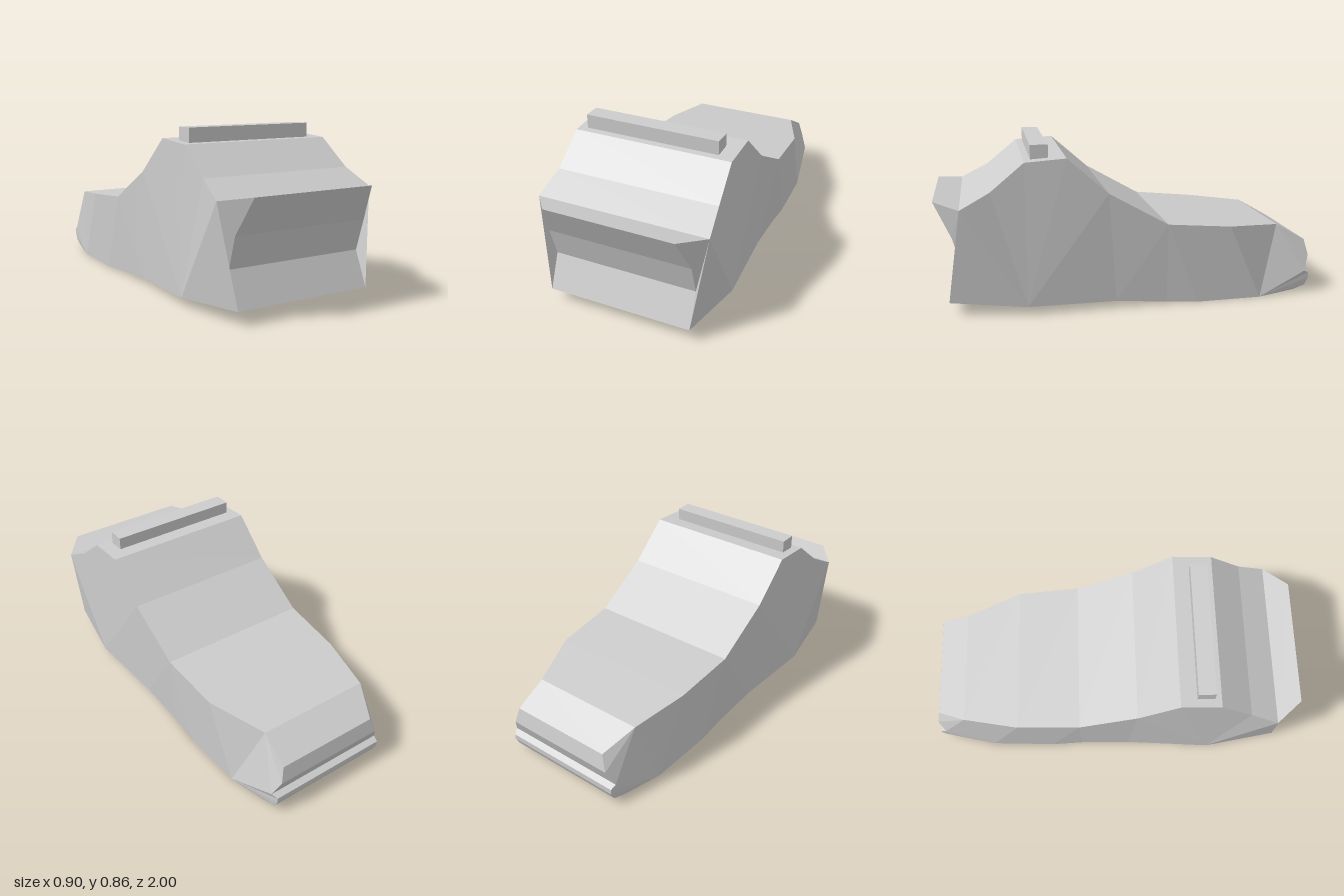
import * as THREE from 'three';

// Body outline, clockwise seen from +x: [z, y, x at -x side, x at +x side]
const outline = [
  // nose edge, cab, roof, sloping back deck
  [0.87, 0.56, -0.45, 0.45], [0.72, 0.64, -0.425, 0.43], [0.55, 0.78, -0.42, 0.42],
  [0.34, 0.795, -0.42, 0.42], [0.13, 0.61, -0.42, 0.42], [-0.18, 0.435, -0.415, 0.415],
  [-0.52, 0.405, -0.4, 0.4], [-0.82, 0.375, -0.34, 0.28],
  // tail and lower bumper lip
  [-0.98, 0.285, -0.27, 0.29], [-1, 0.2, -0.3, 0.31], [-0.97, 0.12, -0.335, 0.345],
  [-1, 0.105, -0.33, 0.33], [-1, 0.075, -0.33, 0.33], [-0.98, 0.035, -0.33, 0.33],
  // underside
  [-0.91, 0.015, -0.34, 0.34], [-0.7, 0, -0.385, 0.385], [-0.35, 0, -0.4, 0.4],
  [-0.18, 0.01, -0.395, 0.395], [0.09, 0.035, -0.405, 0.405], [0.55, 0.045, -0.44, 0.44],
  // recessed front and overhanging lip
  [0.94, 0.07, -0.38, 0.38], [0.866, 0.245, -0.38, 0.38], [0.912, 0.405, -0.38, 0.38],
  [1, 0.585, -0.34, 0.34],
];

// Facets of one side, as outline indices
const sideFacets = [
  [0, 22, 23], [0, 21, 22], [0, 20, 21], [0, 19, 20], [0, 1, 19], [1, 2, 19],
  [2, 3, 19], [3, 4, 19], [4, 18, 19], [4, 5, 18], [5, 17, 18], [5, 16, 17],
  [5, 6, 16], [6, 15, 16], [6, 7, 15], [7, 10, 15], [7, 9, 10], [7, 8, 9],
  [10, 11, 15], [11, 12, 15], [12, 13, 15], [13, 14, 15],
];

function bodyGeometry() {
  const n = outline.length;
  const positions = [];
  const index = [];
  for (const [z, y, , xPlus] of outline) positions.push(xPlus, y, z);
  for (const [z, y, xMinus] of outline) positions.push(xMinus, y, z);
  // panels running across the width
  for (let i = 0; i < n; i++) {
    const j = (i + 1) % n;
    index.push(i, j, n + j, i, n + j, n + i);
  }
  // both faceted sides
  for (const [a, b, c] of sideFacets) {
    index.push(a, c, b, n + a, n + b, n + c);
  }
  const indexed = new THREE.BufferGeometry();
  indexed.setAttribute('position', new THREE.Float32BufferAttribute(positions, 3));
  indexed.setIndex(index);
  const flat = indexed.toNonIndexed();
  flat.computeVertexNormals();
  return flat;
}

export function createModel() {
  const grey = new THREE.MeshStandardMaterial({ color: 0xcccccc });
  grey.name = 'light grey';
  const model = new THREE.Group();
  model.name = 'vehicle';

  const body = new THREE.Mesh(bodyGeometry(), grey);
  body.name = 'body';
  model.add(body);

  // light bar on the roof
  const bar = new THREE.Mesh(new THREE.BoxGeometry(0.715, 0.075, 0.09), grey);
  bar.name = 'roofBar';
  bar.position.set(-0.0175, 0.8175, 0.47);
  model.add(bar);

  return model;
}
